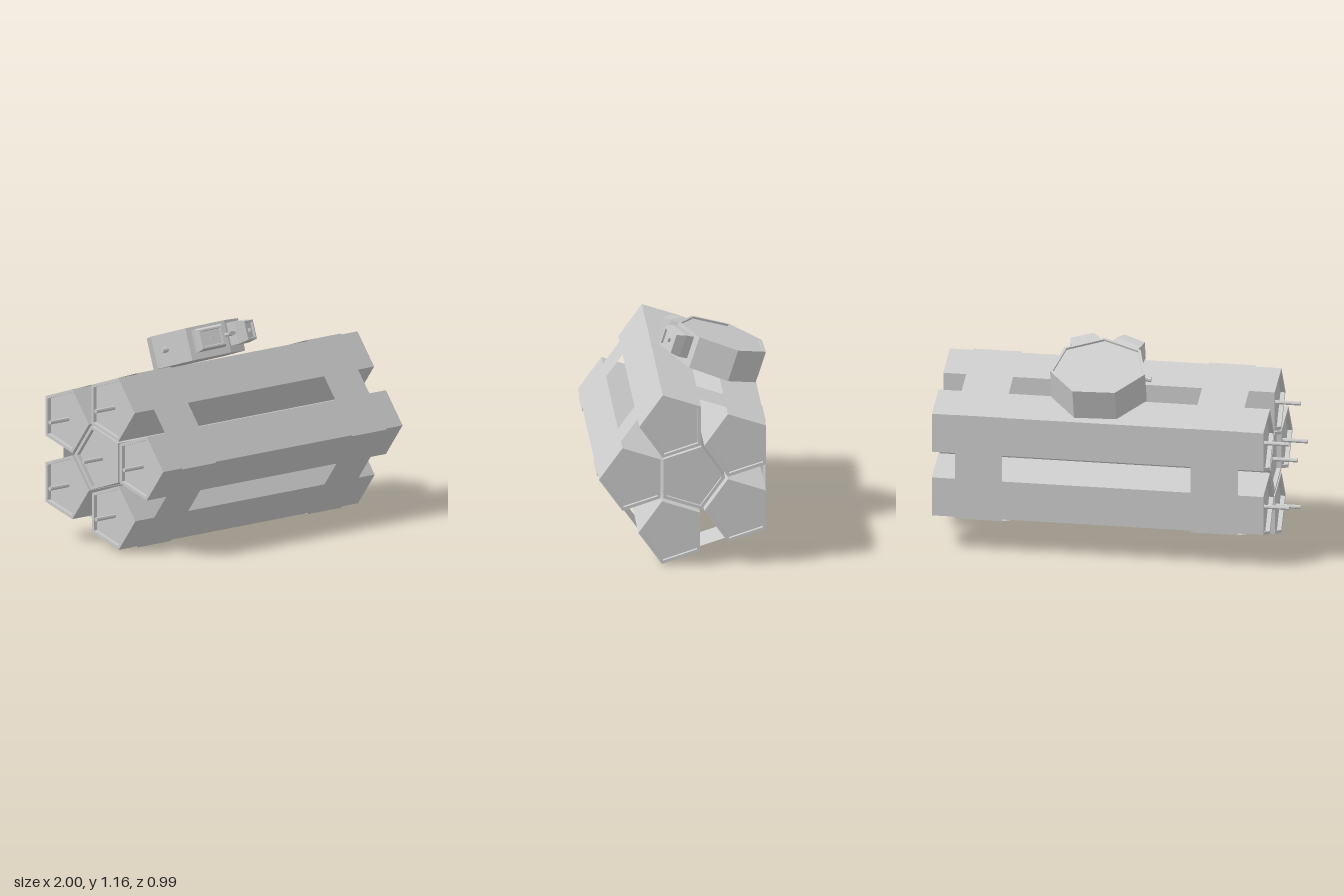
import * as THREE from 'three';

const grey = new THREE.MeshStandardMaterial({ color: 0xcccccc, flatShading: true });
const band = new THREE.MeshStandardMaterial({ color: 0xcccccc, flatShading: true, side: THREE.DoubleSide });

function mesh(name, geometry, material = grey) {
  const m = new THREE.Mesh(geometry, material);
  m.name = name;
  return m;
}

// Faceted solid turned from [radius, height] pairs around y, with a corner toward +z
function prism(sides, profile) {
  return new THREE.LatheGeometry(profile.map(([r, y]) => new THREE.Vector2(r, y)), sides);
}

// Five-sided tube with a recessed cap at each end, lying along x
function stick(name, y, z, flip) {
  const g = new THREE.Group();
  g.name = name;
  const R = 0.191, r = 0.17, h = 0.94, d = 0.025;
  const body = prism(5, [[0, d - h], [r, d - h], [r, -h], [R, -h], [R, h], [r, h], [r, h - d], [0, h - d]]);
  body.rotateZ(-Math.PI / 2);
  if (flip) body.rotateX(Math.PI);
  body.translate(0.06, 0, 0);
  const fuse = new THREE.CylinderGeometry(0.012, 0.012, 0.15, 8).rotateZ(Math.PI / 2).translate(-0.925, 0, 0);
  g.add(mesh('stickBody', body), mesh('fuse', fuse));
  g.position.set(0, y, z);
  return g;
}

// Terminal block: tapered box with a framed recess and a small pin, facing +z
function terminal() {
  const g = new THREE.Group();
  g.name = 'terminal';
  const q = Math.SQRT1_2;
  const block = prism(4, [[0, 0], [q, 0], [q, 0.055], [q * 0.83, 0.11], [q * 0.68, 0.11], [q * 0.64, 0.098], [0, 0.098]]);
  block.rotateY(Math.PI / 4).rotateX(Math.PI / 2).scale(0.165, 0.13, 1);
  const pin = new THREE.BoxGeometry(0.02, 0.02, 0.02).translate(0, 0, 0.104);
  g.add(mesh('terminalBlock', block), mesh('terminalPin', pin));
  return g;
}

function timer() {
  const g = new THREE.Group();
  g.name = 'timer';
  const R = 0.275, h = 0.0925;

  // Seven-sided case with a shallow dial recess
  const body = prism(7, [[0, -h], [R, -h], [R, h], [R - 0.016, h], [R - 0.016, h - 0.012], [0, h - 0.012]]);
  body.rotateY(0.04).scale(1, 1, 0.96);
  g.add(mesh('timerCase', body));

  // Terminals on the two front faces
  for (const s of [-1, 1]) {
    const t = terminal();
    const a = s * Math.PI / 7;
    t.position.set(Math.sin(a) * 0.235, 0.01, Math.cos(a) * 0.235);
    t.rotation.y = a;
    g.add(t);
  }

  // Winding key at the front corner
  const stem = new THREE.CylinderGeometry(0.01, 0.01, 0.07, 8).rotateX(Math.PI / 2).translate(0.005, 0.01, 0.275);
  const handle = new THREE.CylinderGeometry(0.03, 0.03, 0.014, 6).rotateX(Math.PI / 2)
    .scale(1, 0.45, 1).translate(0.005, 0.01, 0.305);
  g.add(mesh('keyStem', stem), mesh('keyHandle', handle));

  // Side knob
  const knob = new THREE.CylinderGeometry(0.015, 0.015, 0.05, 8).rotateZ(Math.PI / 2).translate(-0.262, 0, 0.03);
  g.add(mesh('sideKnob', knob));

  g.position.set(0.085, 0.989, -0.241);
  g.rotation.x = -Math.PI / 10;
  return g;
}

export function createModel() {
  const model = new THREE.Group();
  model.name = 'stickBundle';

  // One centre stick turned the other way, with five around it
  model.add(stick('centreStick', 0.503, -0.03, true));
  const outer = [[0.503, 0.294], [0.806, 0.068], [0.69, -0.296], [0.313, -0.296], [0.191, 0.073]];
  outer.forEach(([y, z]) => model.add(stick('outerStick', y, z, false)));

  // Thin straps wrapped round the bundle
  for (const x of [-0.6025, 0.735]) {
    const strap = new THREE.CylinderGeometry(0.522, 0.522, 0.267, 5, 1, true).rotateZ(-Math.PI / 2);
    const m = mesh('strap', strap, band);
    m.position.set(x, 0.498, -0.032);
    model.add(m);
  }

  model.add(timer());
  return model;
}
